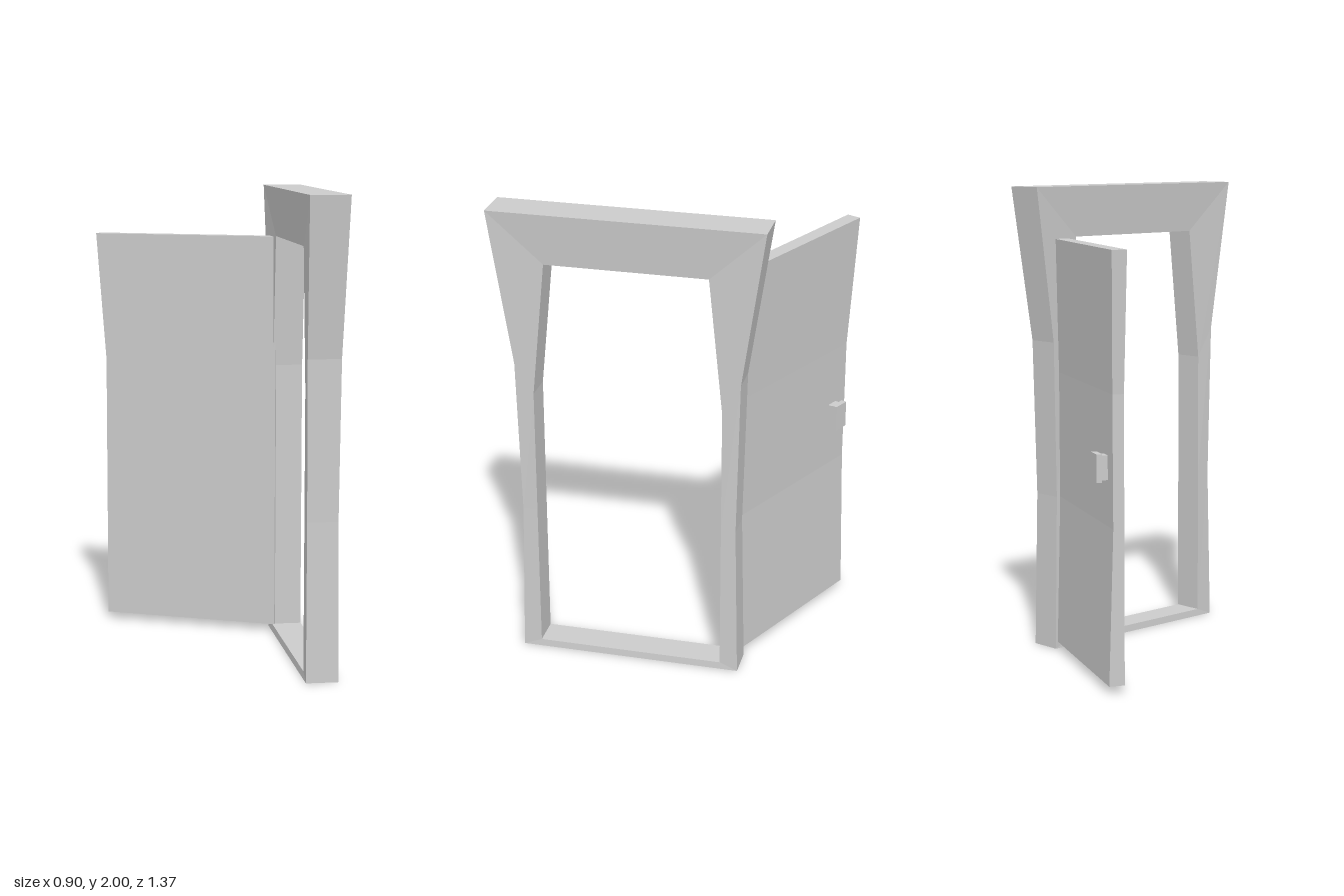
import * as THREE from 'three';

const material = new THREE.MeshStandardMaterial({ color: 0xcccccc, flatShading: true });

// Joins matching rings of [x, y, z] points with quads; wraps back to the first ring or caps both ends.
function loft(rings, wrap) {
  const out = [];
  const quad = (a, b, c, d) => out.push(...a, ...b, ...c, ...a, ...c, ...d);
  const n = rings[0].length;
  const count = wrap ? rings.length : rings.length - 1;
  for (let r = 0; r < count; r++) {
    const lo = rings[r], hi = rings[(r + 1) % rings.length];
    for (let i = 0; i < n; i++) {
      const j = (i + 1) % n;
      quad(lo[i], hi[i], hi[j], lo[j]);
    }
  }
  if (!wrap) {
    quad(...rings[0]);
    quad(...[...rings[rings.length - 1]].reverse());
  }
  const g = new THREE.BufferGeometry();
  g.setAttribute('position', new THREE.Float32BufferAttribute(out, 3));
  g.computeVertexNormals();
  return g;
}

function addMesh(parent, name, geometry) {
  const m = new THREE.Mesh(geometry, material);
  m.name = name;
  parent.add(m);
  return m;
}

// Outline around the opening: up the +z jamb, down the -z jamb.
// Each profile row is [y, half width, half thickness].
function frameRing(profile, side) {
  const cx = 0.3675, cz = 0.1125;
  const half = (s) => profile.map(([y, w, t]) => [cx + side * t, y, cz + s * w]);
  return [...half(1), ...half(-1).reverse()];
}

export function createModel() {
  const model = new THREE.Group();
  model.name = 'openDoor';

  // Door frame, flaring towards the header
  const outer = [[0, 0.475, 0.068], [0.67, 0.46, 0.065], [1.34, 0.475, 0.07], [2, 0.573, 0.083]];
  const inner = [[0.03, 0.398, 0.065], [0.67, 0.398, 0.065], [1.21, 0.398, 0.065], [1.785, 0.34, 0.065]];
  addMesh(model, 'doorFrame', loft([
    frameRing(outer, -1), frameRing(outer, 1), frameRing(inner, 1), frameRing(inner, -1),
  ], true));

  // Door leaf swung open about its hinge edge
  const door = new THREE.Group();
  door.name = 'door';
  door.position.set(0.31, 0, -0.274);
  door.rotation.y = -0.438;
  model.add(door);

  // Rows are [y, width, thickness]
  const leaf = [[0.03, 0.798, 0.065], [0.67, 0.798, 0.046], [1.21, 0.798, 0.048], [1.78, 0.843, 0.0625]];
  addMesh(door, 'doorLeaf', loft(
    leaf.map(([y, w, t]) => [[0, y, 0], [-w, y, 0], [-w, y, -t], [0, y, -t]]), false));

  // Handle: a grip plate on a short stem
  addMesh(door, 'handleStem', new THREE.BoxGeometry(0.055, 0.1, 0.035)).position.set(-0.702, 0.908, -0.057);
  addMesh(door, 'handleGrip', new THREE.BoxGeometry(0.074, 0.115, 0.024)).position.set(-0.702, 0.908, -0.085);

  return model;
}
